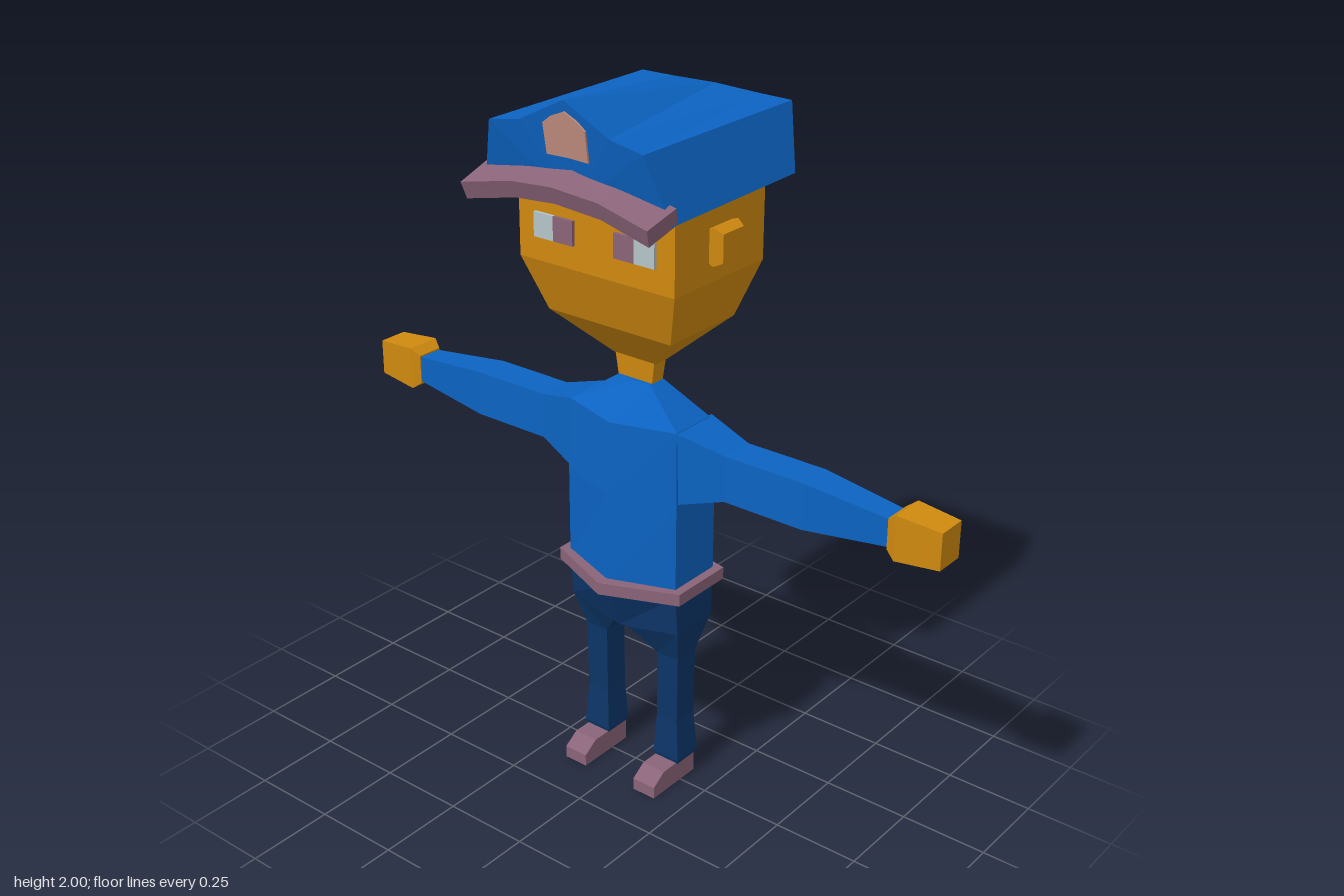
import * as THREE from 'three';

const mat = (name, color) => {
  const m = new THREE.MeshStandardMaterial({ color });
  m.name = name;
  return m;
};

// Faceted solid through rings of [x, y, z] points, capped at both ends and turned outwards.
function loft(rings) {
  const tris = [], n = rings[0].length, last = rings[rings.length - 1];
  for (let r = 0; r < rings.length - 1; r++) {
    const a = rings[r], b = rings[r + 1];
    for (let i = 0; i < n; i++) {
      const j = (i + 1) % n;
      tris.push([a[i], a[j], b[j]], [a[i], b[j], b[i]]);
    }
  }
  for (let i = 1; i < n - 1; i++) {
    tris.push([rings[0][0], rings[0][i + 1], rings[0][i]], [last[0], last[i], last[i + 1]]);
  }
  const c = new THREE.Vector3();
  let volume = 0;
  for (const t of tris) {
    const [p, q, s] = t.map(v => new THREE.Vector3(...v));
    volume += p.dot(c.crossVectors(q, s));
  }
  if (volume < 0) tris.forEach(t => t.reverse());
  const g = new THREE.BufferGeometry();
  g.setAttribute('position', new THREE.Float32BufferAttribute(tris.flat(2), 3));
  g.computeVertexNormals();
  return g;
}

// Level rectangle, upright rectangle and level six-sided body section
const flat = (y, x0, x1, z0, z1) => [[x0, y, z0], [x1, y, z0], [x1, y, z1], [x0, y, z1]];
const upright = (x, y0, y1, z0, z1) => [[x, y0, z0], [x, y1, z0], [x, y1, z1], [x, y0, z1]];
const hex = (y, hx, front, sideF, sideB, back, yMid = y) => [
  [0, yMid, front], [hx, y, sideF], [hx, y, sideB],
  [0, yMid, back], [-hx, y, sideB], [-hx, y, sideF]];
const mirror = (rings, s) => rings.map(r => r.map(([x, y, z]) => [x * s, y, z]));

export function createModel() {
  const model = new THREE.Group();
  const blue = mat('uniform blue', 0x0c63c2);
  const navy = mat('trouser navy', 0x0c3568);
  const skin = mat('skin', 0xd0890f);
  const mauve = mat('mauve leather', 0x8a6479);
  const white = mat('eye white', 0xb4c4c8);
  const peach = mat('badge peach', 0xc48f80);

  const add = (name, geometry, material) => {
    const m = new THREE.Mesh(geometry, material);
    m.name = name;
    model.add(m);
    return m;
  };

  // Head and neck
  add('head', loft([
    flat(1.26, -0.07, 0.07, -0.045, 0.005),
    flat(1.38, -0.2, 0.2, -0.155, 0.11),
    flat(1.53, -0.25, 0.25, -0.205, 0.16),
    flat(1.75, -0.25, 0.25, -0.205, 0.16),
  ]), skin);
  add('neck', loft([
    flat(1.19, -0.055, 0.055, -0.042, 0.002),
    flat(1.27, -0.066, 0.066, -0.045, 0.005),
  ]), skin);

  // Torso, belt and hips
  add('torso', loft([
    hex(0.63, 0.185, 0.128, 0.06, -0.105, -0.135),
    hex(0.905, 0.185, 0.12, 0.06, -0.105, -0.135),
    hex(1.112, 0.18, 0.11, 0.055, -0.085, -0.108),
    hex(1.2, 0.055, 0.015, 0.01, -0.045, -0.05),
  ]), blue);
  add('belt', loft([
    hex(0.62, 0.21, 0.162, 0.075, -0.12, -0.165),
    hex(0.655, 0.21, 0.162, 0.075, -0.12, -0.165),
  ]), mauve);
  add('hips', loft([
    hex(0.51, 0.185, 0.072, 0.05, -0.1, -0.135, 0.485),
    hex(0.63, 0.185, 0.125, 0.06, -0.105, -0.135),
  ]), navy);

  // Paired parts
  for (const s of [1, -1]) {
    const side = s > 0 ? 'left' : 'right';
    add(side + 'Arm', loft(mirror([
      upright(0.175, 0.905, 1.112, -0.1, 0.055),
      upright(0.31, 0.945, 1.075, -0.08, 0.022),
      upright(0.55, 0.945, 1.075, -0.08, 0.022),
      upright(0.8, 0.975, 1.05, -0.062, 0.008),
    ], s)), blue);
    add(side + 'Hand', loft(mirror([
      upright(0.793, 0.97, 1.055, -0.067, 0.012),
      upright(0.82, 0.95, 1.075, -0.08, 0.022),
      upright(0.945, 0.963, 1.065, -0.072, 0.015),
    ], s)), skin);
    add(side + 'Leg', loft(mirror([
      [[0.025, 0.486, -0.13], [0.185, 0.51, -0.1], [0.185, 0.51, 0.05], [0.025, 0.486, 0.068]],
      flat(0.405, 0.09, 0.163, -0.06, 0.018),
      flat(0.2, 0.09, 0.16, -0.06, 0.016),
      flat(0.075, 0.083, 0.17, -0.067, 0.022),
      flat(0.062, 0.088, 0.165, -0.062, 0.018),
    ], s)), navy);
    const shoe = x => [[x, 0, -0.062], [x, 0, 0.12], [x, 0.035, 0.12], [x, 0.065, 0.075], [x, 0.065, -0.062]];
    add(side + 'Shoe', loft(mirror([shoe(0.088), shoe(0.162)], s)), mauve);
    add(side + 'Ear', loft(mirror([
      upright(0.24, 1.585, 1.67, -0.065, 0.022),
      upright(0.265, 1.578, 1.678, -0.072, 0.028),
      upright(0.29, 1.59, 1.665, -0.063, 0.02),
    ], s)), skin);

    // Eye plates
    const eye = new THREE.BoxGeometry(0.064, 0.066, 0.009);
    add(side + 'Pupil', eye, mauve).position.set(s * 0.098, 1.628, 0.1645);
    add(side + 'EyeWhite', eye, white).position.set(s * 0.162, 1.628, 0.1645);
  }

  // Cap crown, peaked at the front and flat at the back
  const crown = (base, top, zBase, zTop, peak) => [
    [0, base, zBase], [0.295, base, zBase], [0.24, top, zTop], [0.14, (top * 4 + peak) / 5, zTop],
    [0, peak, zTop],
    [-0.14, (top * 4 + peak) / 5, zTop], [-0.24, top, zTop], [-0.295, base, zBase]];
  add('capCrown', loft([
    crown(1.74, 1.912, 0.23, 0.27, 2),
    crown(1.75, 1.915, -0.27, -0.325, 1.92),
  ]), blue);

  // Visor, arched and sloping forward
  const visor = (x, drop, dz) => [
    [x, 1.83 - drop, 0.22], [x * 0.98, 1.8 - drop, 0.32 + dz],
    [x * 0.96, 1.755 - drop, 0.305 + dz], [x * 0.98, 1.785 - drop, 0.21]];
  add('capVisor', loft([
    visor(-0.3, 0.045, 0.002), visor(-0.14, 0.014, -0.01), visor(0, 0, 0),
    visor(0.14, 0.014, -0.01), visor(0.3, 0.045, 0.002),
  ]), mauve);

  // Badge plate following the slope of the crown front
  const outline = [[0, 1.855], [0.065, 1.855], [0.066, 1.935], [0.04, 1.955], [0, 1.972],
    [-0.04, 1.955], [-0.066, 1.935], [-0.065, 1.855]];
  const badge = lift => outline.map(([x, y]) =>
    [x, y, 0.23 + 0.154 * (y - 1.74) + 0.083 * Math.abs(x) + lift]);
  add('capBadge', loft([badge(-0.003), badge(0.005)]), peach);

  return model;
}
